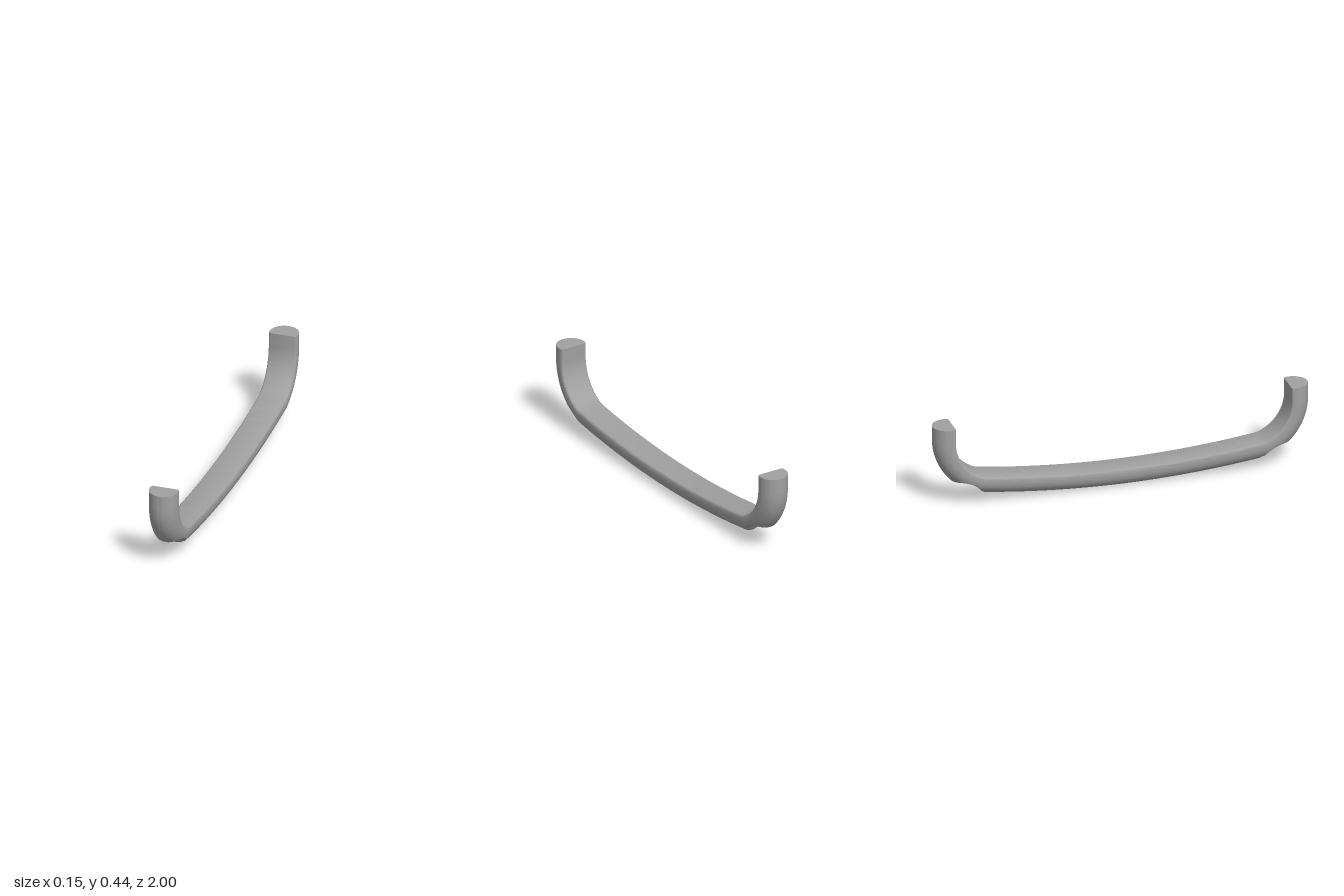
import * as THREE from 'three';
import { toCreasedNormals } from 'three/addons/utils/BufferGeometryUtils.js';

const HALF_WIDTH = 0.077, DEPTH = 0.105, CORNER = 0.014;
const BEND = { z: 0.675, y: 0.364, r: 0.22 };       // inner bend of each leg
const NOTCH = { z: 0.865, y: 0.0025, r: 0.1305 };   // round scoop under each bend
const LEG_TOP = 0.44;

// D-shaped section as [x, depth from the flat inner face]
function gripSection() {
  const pts = [];
  for (let i = 0; i <= 5; i++) {
    const a = (i / 5) * Math.PI / 2;
    pts.push([-HALF_WIDTH + CORNER * (1 - Math.sin(a)), CORNER * (1 - Math.cos(a))]);
  }
  for (let i = 0; i <= 56; i++) {
    const a = (i / 56) * Math.PI;
    pts.push([-HALF_WIDTH * Math.cos(a), DEPTH - HALF_WIDTH + HALF_WIDTH * Math.sin(a)]);
  }
  for (let i = 5; i >= 0; i--) pts.push([-pts[i][0], pts[i][1]]);
  return pts;
}

// Depth at which a ray from the inner face enters the scoop
function notchDepth(z, y, a) {
  const dz = z - NOTCH.z, dy = y - NOTCH.y;
  const b = dz * Math.sin(a) - dy * Math.cos(a);
  const disc = b * b - (dz * dz + dy * dy - NOTCH.r ** 2);
  if (disc <= 0) return Infinity;
  const t = -b - Math.sqrt(disc);
  return t > 0 ? t : Infinity;
}

// Half of the inner line: bowed bar, slight kink, bend, straight leg
function halfPath() {
  const path = [];
  const add = (z, y, a) => path.push({ z, y, a, cut: notchDepth(z, y, a) });
  const barY = (z) => 0.105 + 0.0924 * z * z;
  const barEnd = 0.745, barAngle = Math.atan(2 * 0.0924 * barEnd);
  for (let i = 0; i <= 30; i++) {
    const z = (barEnd * i) / 30;
    add(z, barY(z), Math.atan(2 * 0.0924 * z));
  }
  const bendStart = THREE.MathUtils.degToRad(21);
  const z1 = BEND.z + BEND.r * Math.sin(bendStart), y1 = BEND.y - BEND.r * Math.cos(bendStart);
  for (let i = 1; i < 16; i++) {
    const t = i / 16, l = THREE.MathUtils.lerp;
    add(l(barEnd, z1, t), l(barY(barEnd), y1, t), l(barAngle, bendStart, t));
  }
  for (let i = 0; i <= 80; i++) {
    const a = THREE.MathUtils.lerp(bendStart, Math.PI / 2, i / 80);
    add(BEND.z + BEND.r * Math.sin(a), BEND.y - BEND.r * Math.cos(a), a);
  }
  add(BEND.z + BEND.r, LEG_TOP, Math.PI / 2);
  return path;
}

// Sweep the section from one leg top to the other
function handleGeometry() {
  const section = gripSection(), half = halfPath(), n = section.length;
  const mirrored = half.slice(1).reverse().map((p) => ({ ...p, z: -p.z, a: -p.a }));
  const path = [...mirrored, ...half];
  const pos = [], index = [];
  for (const p of path) {
    for (const [x, d] of section) {
      const depth = Math.min(d, p.cut);
      pos.push(x, p.y - depth * Math.cos(p.a), p.z + depth * Math.sin(p.a));
    }
  }
  for (let i = 0; i < path.length - 1; i++) {
    for (let j = 0; j < n; j++) {
      const a = i * n + j, b = i * n + (j + 1) % n;
      index.push(a, b, b + n, a, b + n, a + n);
    }
  }
  // Flat mounting ends
  const last = (path.length - 1) * n;
  for (let j = 1; j < n - 1; j++) {
    index.push(0, j + 1, j);
    index.push(last, last + j, last + j + 1);
  }
  const geo = new THREE.BufferGeometry();
  geo.setAttribute('position', new THREE.Float32BufferAttribute(pos, 3));
  geo.setIndex(index);
  return toCreasedNormals(geo, 0.55);
}

export function createModel() {
  const model = new THREE.Group();
  model.name = 'pullHandle';
  const metal = new THREE.MeshStandardMaterial({ color: 0xa0a0a0 });
  metal.name = 'satin grey metal';
  const handle = new THREE.Mesh(handleGeometry(), metal);
  handle.name = 'handleBar';
  model.add(handle);
  return model;
}
